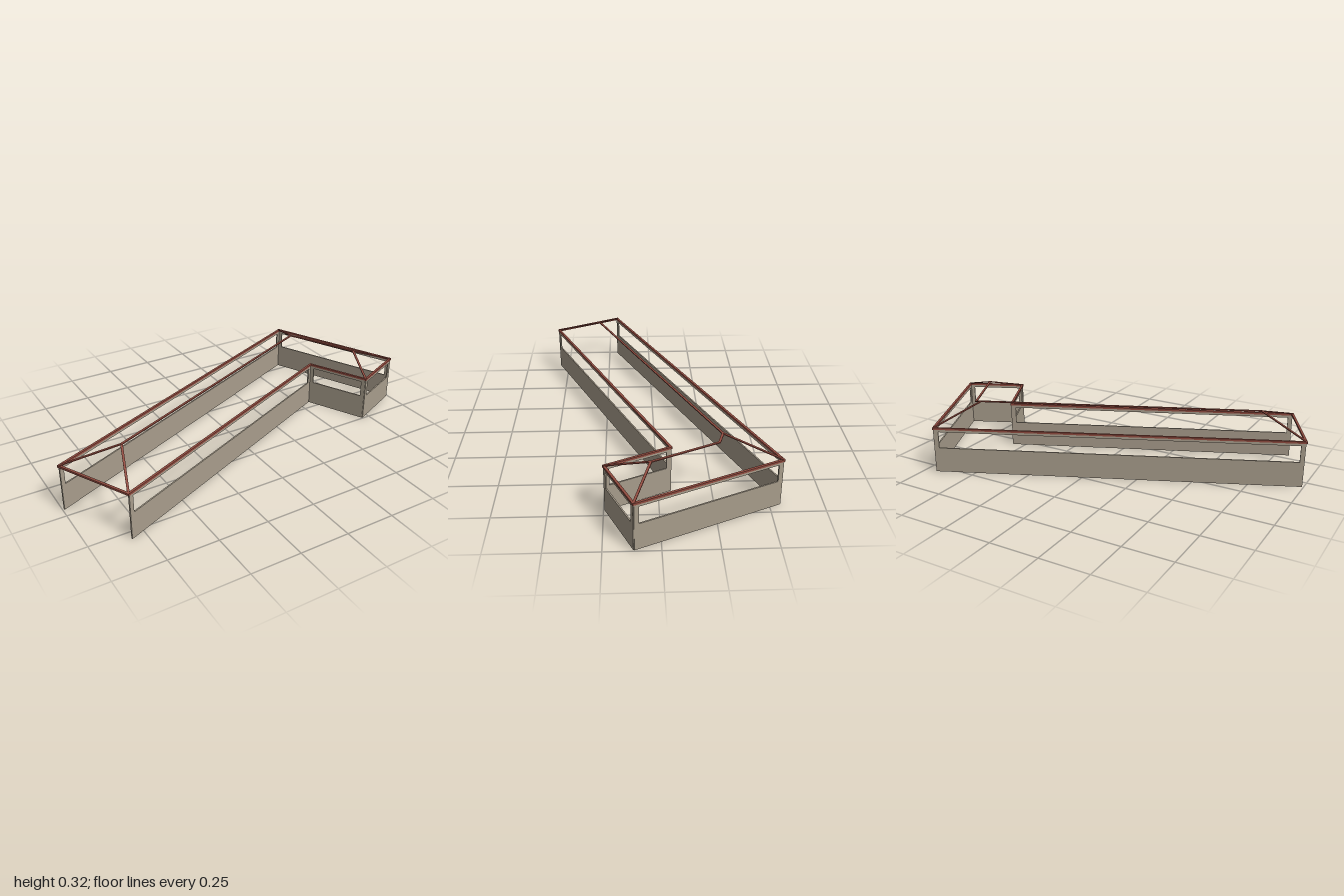
import * as THREE from 'three';

// Plan corners (x, z) of the L-shaped building, in order around the outline
const CORNERS = [
  [-0.992, 0.198], [0.688, -0.549], [0.991, 0.116],
  [0.709, 0.242], [0.565, -0.058], [-0.817, 0.548],
];
const WALL_TOP = 0.23, SILL = 0.13, LINTEL = 0.216, JAMB = 0.023, THICK = 0.007;
const EAVE_Y = 0.234;

// Upright wall with one long window opening, running from a to b
function wall(a, b, material) {
  const dx = b[0] - a[0], dz = b[1] - a[1];
  const length = Math.hypot(dx, dz);
  const rect = (Path, x0, y0, x1, y1) =>
    new Path([[x0, y0], [x1, y0], [x1, y1], [x0, y1]].map(p => new THREE.Vector2(...p)));
  const shape = rect(THREE.Shape, 0, 0, length, WALL_TOP);
  shape.holes.push(rect(THREE.Path, JAMB, SILL, length - JAMB, LINTEL));
  const geometry = new THREE.ExtrudeGeometry(shape, { depth: THICK, bevelEnabled: false });
  geometry.translate(0, 0, -THICK / 2);
  const mesh = new THREE.Mesh(geometry, material);
  mesh.position.set(a[0], 0, a[1]);
  mesh.rotation.y = Math.atan2(-dz, dx);
  mesh.name = 'wall';
  return mesh;
}

// Straight flat bar between two points
function bar(from, to, width, height, extra, material, name) {
  const a = new THREE.Vector3(...from), b = new THREE.Vector3(...to);
  const geometry = new THREE.BoxGeometry(width, height, a.distanceTo(b) + extra);
  const mesh = new THREE.Mesh(geometry, material);
  mesh.position.copy(a).add(b).multiplyScalar(0.5);
  mesh.lookAt(b);
  mesh.name = name;
  return mesh;
}

export function createModel() {
  const model = new THREE.Group();
  model.name = 'building';
  const plaster = new THREE.MeshStandardMaterial({ color: 0xa89d8c });
  plaster.name = 'plaster';
  const tileRed = new THREE.MeshStandardMaterial({ color: 0x914b3f });
  tileRed.name = 'tileRed';

  // Walls on every side but the open end, with eaves all the way round
  const walls = new THREE.Group(), eaves = new THREE.Group(), roof = new THREE.Group();
  walls.name = 'walls';
  eaves.name = 'eaves';
  roof.name = 'roofRidges';
  CORNERS.forEach((a, i) => {
    const b = CORNERS[(i + 1) % CORNERS.length];
    if (i < CORNERS.length - 1) walls.add(wall(a, b, plaster));
    eaves.add(bar([a[0], EAVE_Y, a[1]], [b[0], EAVE_Y, b[1]], 0.012, 0.01, 0.011, tileRed, 'eave'));
  });

  // Ridges and hips of the roof
  const [A, B, C, D, , F] = CORNERS.map(([x, z]) => [x, 0.238, z]);
  const mainEnd = [-0.73, 0.317, 0.295], mainTurn = [0.587, 0.317, -0.289];
  const wingStart = [0.637, 0.301, -0.269], wingEnd = [0.784, 0.301, 0.039];
  [[mainEnd, mainTurn], [mainTurn, wingStart], [wingStart, wingEnd]]
    .forEach(([a, b]) => roof.add(bar(a, b, 0.011, 0.005, 0.004, tileRed, 'ridge')));
  [[A, mainEnd], [F, mainEnd], [B, mainTurn], [C, wingEnd], [D, wingEnd]]
    .forEach(([a, b]) => roof.add(bar(a, b, 0.011, 0.005, 0.004, tileRed, 'hip')));

  model.add(walls, eaves, roof);
  return model;
}
